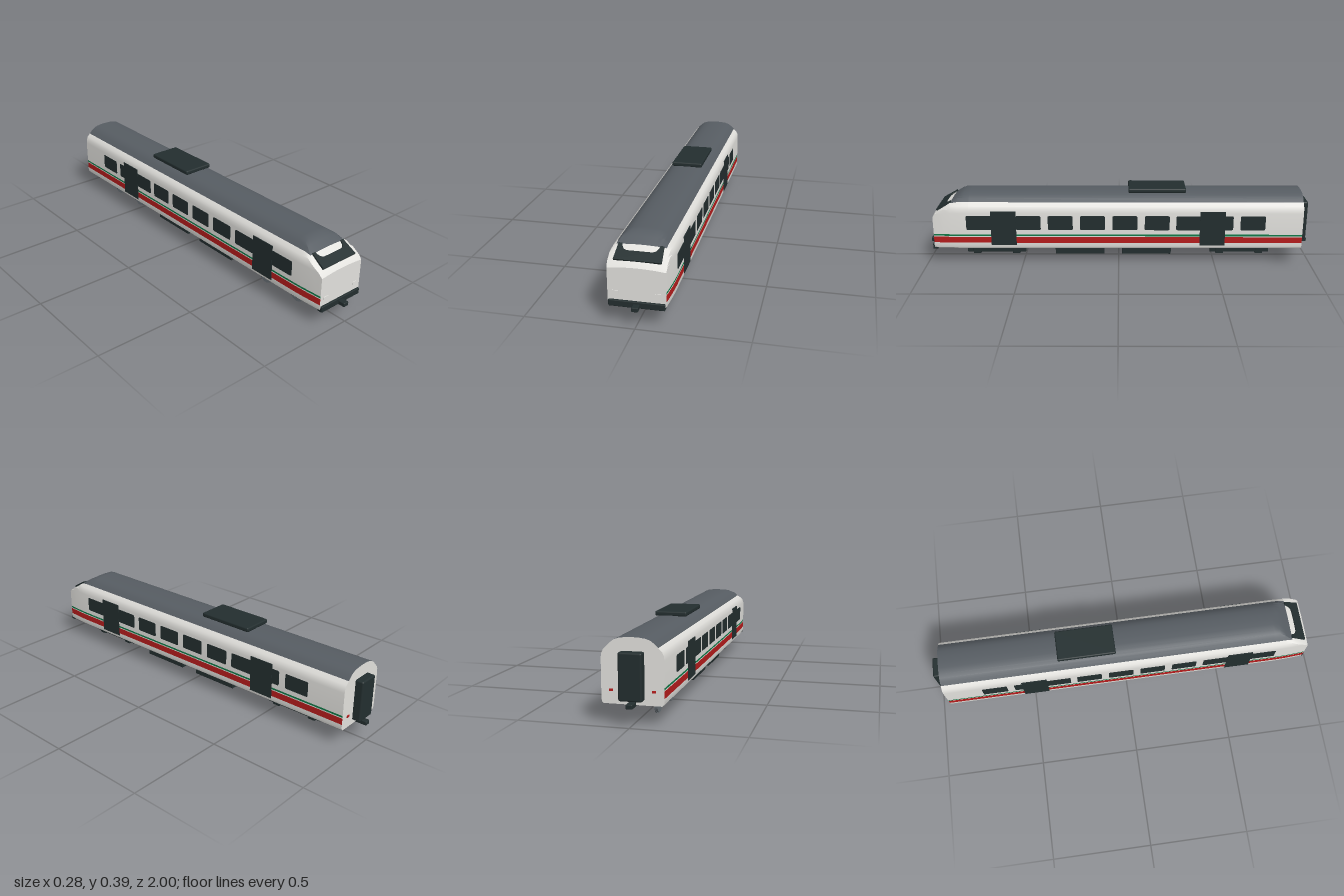
import * as THREE from 'three';
import { toCreasedNormals } from 'three/addons/utils/BufferGeometryUtils.js';
import { RoundedBoxGeometry } from 'three/addons/geometries/RoundedBoxGeometry.js';

const mat = (name, color) => {
  const m = new THREE.MeshStandardMaterial({ color });
  m.name = name;
  return m;
};

export function createModel() {
  const white = mat('body white', 0xe2e1dd);
  const grey = mat('roof grey', 0x565c62);
  const dark = mat('dark trim', 0x232e2f);
  const red = mat('stripe red', 0xb71c1c);
  const green = mat('stripe green', 0x0f7a47);
  const steel = mat('wheel steel', 0x697177);

  const train = new THREE.Group();
  train.name = 'railcar';
  const add = (name, geometry, material, x = 0, y = 0, z = 0, parent = train) => {
    const mesh = new THREE.Mesh(geometry, material);
    mesh.name = name;
    mesh.position.set(x, y, z);
    parent.add(mesh);
    return mesh;
  };
  // Box given by its limits, optionally with rounded edges
  const block = (name, material, [x0, x1], [y0, y1], [z0, z1], r = 0, parent = train) => {
    const size = [x1 - x0, y1 - y0, z1 - z0];
    const g = r ? new RoundedBoxGeometry(...size, 2, r) : new THREE.BoxGeometry(...size);
    return add(name, g, material, (x0 + x1) / 2, (y0 + y1) / 2, (z0 + z1) / 2, parent);
  };

  // Body: half cross-section from bottom centre to roof centre
  const half = [
    [0, 0.087], [0.128, 0.087], [0.135, 0.093], [0.138, 0.105], [0.138, 0.12], [0.138, 0.152],
    [0.138, 0.157], [0.138, 0.166], [0.138, 0.28], [0.136, 0.3], [0.128, 0.317], [0.112, 0.333],
    [0.095, 0.35], [0.08, 0.361], [0.06, 0.369], [0.03, 0.373], [0, 0.374],
  ];
  const profile = [...half, ...half.slice(1, -1).reverse().map(([x, y]) => [-x, y])];
  // Stations along the body: z, roof height limit, width scale
  const stations = [
    [-0.947, 0.4, 1], [0.77, 0.384, 1], [0.8, 0.372, 1], [0.83, 0.355, 0.995], [0.865, 0.332, 0.985],
    [0.9, 0.31, 0.97], [0.94, 0.285, 0.95], [0.957, 0.265, 0.935],
  ];
  const section = ([, limit, s]) => profile.map(([x, y]) =>
    [x * s, Math.min(y, limit - 0.008 * (x / 0.135) ** 2)]);

  const n = profile.length;
  const positions = [];
  for (const st of stations) for (const [x, y] of section(st)) positions.push(x, y, st[0]);
  const materials = [white, red, green, grey];
  const faces = [[], [], [], []];
  for (let i = 0; i < stations.length - 1; i++) {
    for (let j = 0; j < n; j++) {
      const k = (j + 1) % n;
      const mid = (profile[j][1] + profile[k][1]) / 2;
      let m = 0;
      if (mid > 0.12 && mid < 0.152) m = 1;
      else if (mid > 0.157 && mid < 0.166) m = 2;
      else if (mid > 0.333 && stations[i][0] < 0.86) m = 3;
      const a = i * n + j, b = i * n + k;
      faces[m].push(a, b, b + n, a, b + n, a + n);
    }
  }
  const shell = new THREE.BufferGeometry();
  shell.setAttribute('position', new THREE.Float32BufferAttribute(positions, 3));
  shell.setIndex(faces.flat());
  let start = 0;
  const ranges = faces.map((f, m) => {
    const range = [start, f.length, m];
    start += f.length;
    return range;
  });
  const body = toCreasedNormals(shell, 0.6);
  body.clearGroups();
  ranges.forEach((r) => body.addGroup(...r));
  add('bodyShell', body, materials);

  // End walls
  const wall = (st) => new THREE.ShapeGeometry(
    new THREE.Shape(section(st).map(([x, y]) => new THREE.Vector2(x, y))));
  add('frontWall', wall(stations[stations.length - 1]), white, 0, 0, 0.957);
  add('rearWall', wall(stations[0]).rotateY(Math.PI), white, 0, 0, -0.947);

  // Sloping windscreen with a curved notch at its top edge
  const screen = new THREE.Shape();
  screen.moveTo(-0.105, 0);
  screen.lineTo(0.105, 0);
  screen.lineTo(0.1, 0.0865);
  screen.lineTo(0.083, 0.0865);
  screen.quadraticCurveTo(0.078, 0.05, 0.05, 0.05);
  screen.lineTo(-0.05, 0.05);
  screen.quadraticCurveTo(-0.078, 0.05, -0.083, 0.0865);
  screen.lineTo(-0.1, 0.0865);
  const glass = new THREE.ExtrudeGeometry(screen, { depth: 0.009, bevelEnabled: false });
  glass.translate(0, 0, -0.007);
  add('windscreen', glass, dark, 0, 0.29, 0.94).rotation.x = -1.05;

  // Side windows and doors
  const w = 0.064, h = 0.038, r = 0.008;
  const pane = new THREE.Shape();
  pane.moveTo(-w + r, -h);
  pane.lineTo(w - r, -h);
  pane.quadraticCurveTo(w, -h, w, -h + r);
  pane.lineTo(w, h - r);
  pane.quadraticCurveTo(w, h, w - r, h);
  pane.lineTo(-w + r, h);
  pane.quadraticCurveTo(-w, h, -w, h - r);
  pane.lineTo(-w, -h + r);
  pane.quadraticCurveTo(-w, -h, -w + r, -h);
  const paneGeo = new THREE.ExtrudeGeometry(pane, { depth: 0.006, bevelEnabled: false });
  paneGeo.translate(0, 0, -0.003).rotateY(Math.PI / 2);
  for (const side of [1, -1]) {
    for (const z of [0.72, 0.465, 0.3, 0.134, -0.032, -0.198, -0.36, -0.525, -0.69])
      add('sideWindow', paneGeo, dark, side * 0.137, 0.229, z);
    for (const z of [0.593, -0.483])
      add('sideDoor', new THREE.BoxGeometry(0.008, 0.183, 0.13), dark, side * 0.137, 0.199, z);
    // Lamps at both ends
    add('headlight', new THREE.BoxGeometry(0.028, 0.014, 0.006), white, side * 0.094, 0.147, 0.957);
    add('tailLight', new THREE.BoxGeometry(0.016, 0.01, 0.006), red, side * 0.094, 0.147, -0.948);
  }

  // Ends: bumper, couplers and gangway
  block('frontBumper', dark, [-0.125, 0.125], [0.081, 0.111], [0.94, 0.967], 0.004);
  block('frontCoupler', dark, [-0.015, 0.015], [0.08, 0.101], [0.96, 1], 0.004);
  block('rearGangway', dark, [-0.052, 0.052], [0.108, 0.315], [-0.987, -0.94], 0.008);
  block('rearCoupler', dark, [-0.015, 0.015], [0.08, 0.101], [-1, -0.94], 0.004);

  // Roof unit and underfloor boxes
  block('roofUnit', dark, [-0.079, 0.079], [0.371, 0.394], [-0.347, -0.05], 0.007);
  block('underfloorBox', dark, [-0.1, 0.1], [0.042, 0.09], [0.075, 0.331], 0.004);
  block('underfloorBox', dark, [-0.1, 0.1], [0.042, 0.09], [-0.274, -0.018], 0.004);

  // Bogies: two side beams, axle boxes, axles and a single row of wheels
  const disc = (radius, length, seg) =>
    new THREE.CylinderGeometry(radius, radius, length, seg).rotateZ(Math.PI / 2);
  for (const z of [0.644, -0.636]) {
    const bogie = new THREE.Group();
    bogie.name = 'bogie';
    bogie.position.z = z;
    train.add(bogie);
    for (const x of [0.065, -0.065])
      block('sideBeam', dark, [x - 0.007, x + 0.007], [0.043, 0.072], [-0.154, 0.154], 0.003, bogie);
    for (const dz of [0.104, -0.104]) {
      for (const x of [0.065, -0.065])
        block('axleBox', dark, [x - 0.009, x + 0.009], [0.035, 0.08], [dz - 0.02, dz + 0.02], 0.003, bogie);
      add('axle', disc(0.008, 0.13, 12), dark, 0, 0.041, dz, bogie);
      add('wheel', disc(0.038, 0.013, 32), steel, -0.051, 0.041, dz, bogie);
      add('wheelFlange', disc(0.041, 0.004, 32), steel, -0.046, 0.041, dz, bogie);
    }
  }
  return train;
}
